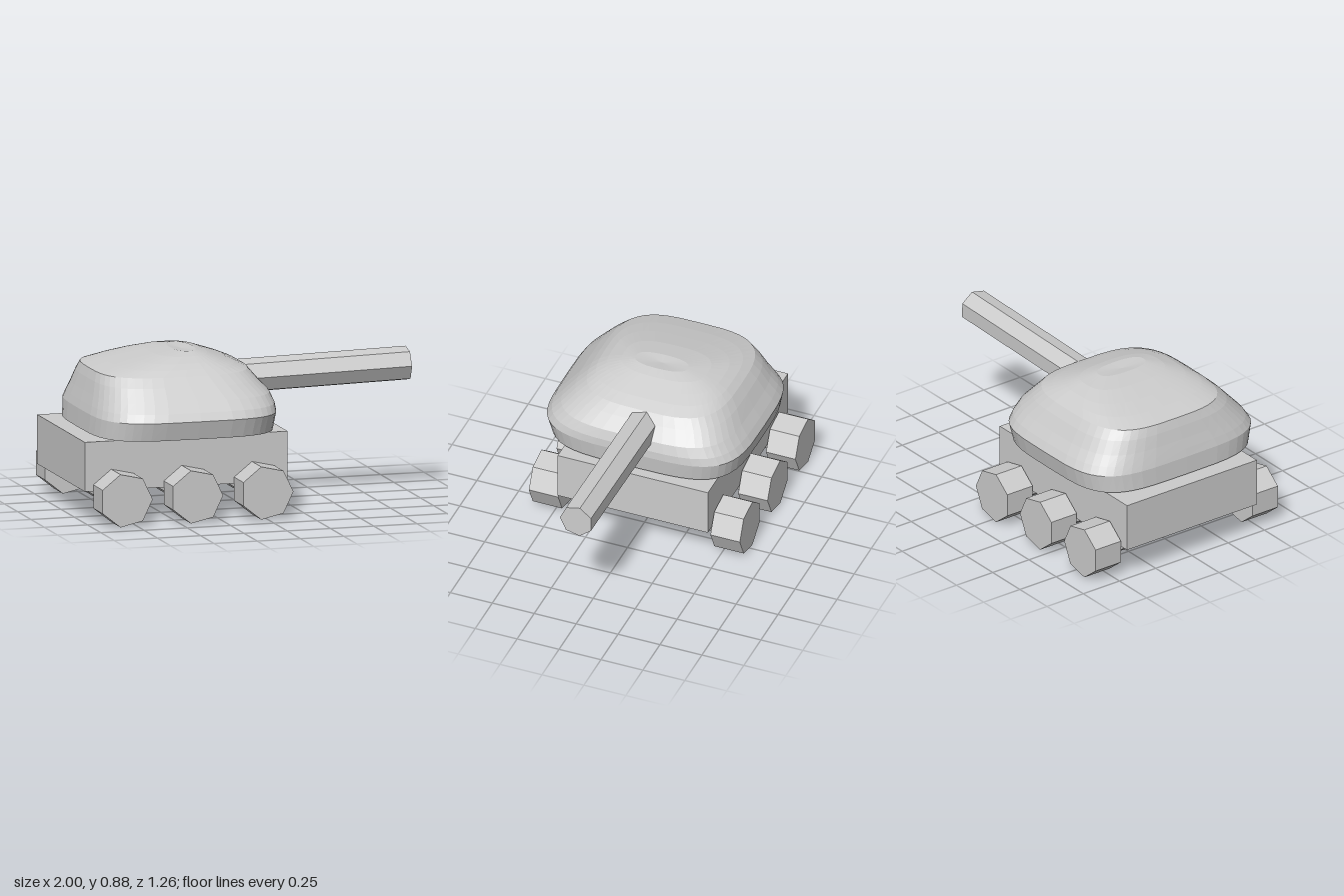
import * as THREE from 'three';

const material = new THREE.MeshStandardMaterial({ color: 0xcccccc, flatShading: true });

function addMesh(parent, name, geometry, x = 0, y = 0, z = 0) {
  const mesh = new THREE.Mesh(geometry, material);
  mesh.name = name;
  mesh.position.set(x, y, z);
  parent.add(mesh);
  return mesh;
}

// Seven-sided bar lying along z, one corner towards +x
function crossBar(radius, length) {
  return new THREE.CylinderGeometry(radius, radius, length, 7, 1, false, Math.PI / 2).rotateX(Math.PI / 2);
}

// Domed shell lofted through rounded-rectangle rings
function turretGeometry() {
  // height, xMin, xMax, zMin, zMax, squareness
  const rings = [
    [0.467, -0.915, 0.125, -0.54, 0.60, 4],
    [0.57, -0.908, 0.14, -0.562, 0.628, 4],
    [0.615, -0.895, 0.137, -0.535, 0.60, 3.9],
    [0.67, -0.878, 0.118, -0.495, 0.55, 3.8],
    [0.74, -0.858, 0.058, -0.45, 0.485, 3.6],
    [0.79, -0.84, 0.02, -0.41, 0.43, 3.4],
    [0.82, -0.73, -0.05, -0.37, 0.39, 3.2],
    [0.845, -0.62, -0.12, -0.32, 0.34, 3],
    [0.87, -0.50, -0.19, -0.24, 0.26, 2.8],
    [0.885, -0.38, -0.25, -0.13, 0.18, 2.5],
  ];
  const segments = 48;
  const positions = [];
  const indices = [];
  const power = (v, n) => Math.sign(v) * Math.pow(Math.abs(v), 2 / n);
  for (const [y, x0, x1, z0, z1, n] of rings) {
    for (let i = 0; i < segments; i++) {
      const a = (i / segments) * Math.PI * 2;
      positions.push(
        (x0 + x1) / 2 + ((x1 - x0) / 2) * power(Math.cos(a), n),
        y,
        (z0 + z1) / 2 + ((z1 - z0) / 2) * power(Math.sin(a), n)
      );
    }
  }
  const bottom = rings.length * segments;
  const top = bottom + 1;
  positions.push(-0.39, 0.467, 0.03, -0.32, 0.877, 0.025);
  const last = (rings.length - 1) * segments;
  for (let i = 0; i < segments; i++) {
    const next = (i + 1) % segments;
    for (let r = 0; r < rings.length - 1; r++) {
      const a = r * segments + i;
      const b = r * segments + next;
      indices.push(a, a + segments, b, b, a + segments, b + segments);
    }
    indices.push(bottom, i, next, last + i, top, last + next);
  }
  const geometry = new THREE.BufferGeometry();
  geometry.setAttribute('position', new THREE.Float32BufferAttribute(positions, 3));
  geometry.setIndex(indices);
  geometry.computeVertexNormals();
  return geometry;
}

export function createModel() {
  const model = new THREE.Group();
  model.name = 'tank';

  // Box body
  addMesh(model, 'hull', new THREE.BoxGeometry(1.172, 0.277, 0.896), -0.414, 0.3175, 0);

  // Three axles with a wheel at each end
  [-0.815, -0.408, -0.002].forEach((x) => {
    const wheelSet = new THREE.Group();
    wheelSet.name = 'wheelSet';
    wheelSet.position.set(x, 0.15, 0);
    addMesh(wheelSet, 'axle', crossBar(0.075, 0.92));
    for (const side of [-1, 1]) {
      addMesh(wheelSet, 'wheel', crossBar(0.152, 0.175), 0, 0, side * 0.5415);
    }
    model.add(wheelSet);
  });

  addMesh(model, 'turret', turretGeometry());

  // Seven-sided gun, tilted slightly upwards
  const barrel = new THREE.CylinderGeometry(0.097, 0.097, 1.05, 7).rotateZ(-Math.PI / 2);
  addMesh(model, 'gunBarrel', barrel, 0.474, 0.703, 0).rotation.z = 0.022;

  return model;
}
